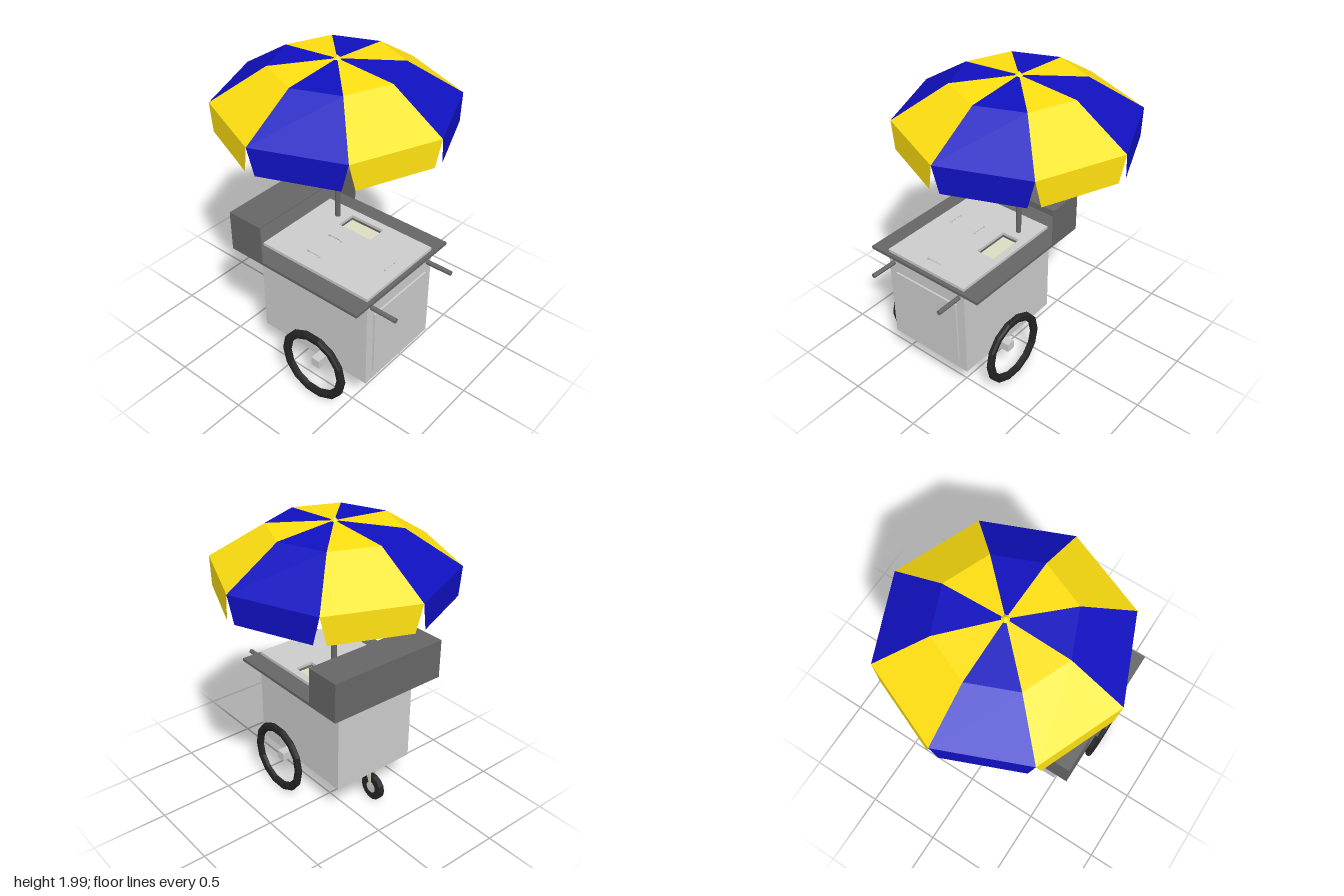
import * as THREE from 'three';

const CX = -0.2; // cart centre line
const mat = (color, side = THREE.FrontSide) =>
  new THREE.MeshStandardMaterial({ color, side, flatShading: true });
const GREY = mat(0xcccccc), DARK = mat(0x666666), BLACK = mat(0x242424);
const CREAM = mat(0xdcdcc0, THREE.DoubleSide);
const YELLOW = mat(0xffe010, THREE.DoubleSide), BLUE = mat(0x1010c0, THREE.DoubleSide);

export function createModel() {
  const model = new THREE.Group();
  const add = (name, geo, material, x = 0, y = 0, z = 0) => {
    const mesh = new THREE.Mesh(geo, material);
    mesh.name = name;
    mesh.position.set(x, y, z);
    model.add(mesh);
    return mesh;
  };
  // Box given by its extents
  const box = (name, material, x0, x1, y0, y1, z0, z1) =>
    add(name, new THREE.BoxGeometry(x1 - x0, y1 - y0, z1 - z0), material,
      (x0 + x1) / 2, (y0 + y1) / 2, (z0 + z1) / 2);
  const rect = (x0, x1, z0, z1, Type) => new Type().moveTo(x0, z0).lineTo(x1, z0).lineTo(x1, z1).lineTo(x0, z1).closePath();

  // Horizontal plate with the tray opening cut through
  const plate = (name, material, x0, x1, z0, z1, top, thick) => {
    const shape = rect(x0, x1, z0, z1, THREE.Shape);
    shape.holes.push(rect(-0.07, 0.06, 0.03, 0.28, THREE.Path));
    const geo = new THREE.ExtrudeGeometry(shape, { depth: thick, bevelEnabled: false });
    add(name, geo.rotateX(Math.PI / 2), material, 0, top, 0);
  };

  // Cabinet, door and tops
  box('cabinet', GREY, -0.51, 0.11, 0.22, 0.85, -0.22, 0.61);
  box('door', GREY, -0.45, 0.05, 0.285, 0.74, 0.6, 0.622);
  plate('counter', DARK, -0.635, 0.235, -0.34, 0.635, 0.87, 0.02);
  plate('lid', GREY, -0.51, 0.11, -0.2, 0.61, 0.89, 0.02);
  box('trayFloor', CREAM, -0.07, 0.06, 0.849, 0.854, 0.03, 0.28);

  // Hood at the back, open towards the front
  const t = 0.006;
  box('hoodBack', DARK, -0.635, 0.235, 0.85, 1.12, -0.34, -0.34 + t);
  box('hoodTop', DARK, -0.635, 0.235, 1.12 - t, 1.12, -0.34, -0.09);
  box('hoodRightSide', DARK, -0.635, -0.635 + t, 0.85, 1.12, -0.34, -0.09);
  box('hoodLeftSide', DARK, 0.235 - t, 0.235, 0.85, 1.12, -0.34, -0.09);

  // Lid grips
  const grip = (x, z, turn) => {
    const path = new THREE.CurvePath();
    const p = [[-0.045, 0.885], [-0.045, 0.904], [0.045, 0.904], [0.045, 0.885]]
      .map(([a, y]) => new THREE.Vector3(a, y, 0));
    for (let i = 0; i < 3; i++) path.add(new THREE.LineCurve3(p[i], p[i + 1]));
    add('lidGrip', new THREE.TubeGeometry(path, 18, 0.007, 6), GREY, x, 0, z).rotation.y = turn;
  };
  grip(-0.4, 0.11, Math.PI / 2);
  grip(CX, 0.11, Math.PI / 2);
  grip(CX, 0.53, 0);

  // Push handles, axle and main wheels
  box('axle', GREY, -0.6, 0.2, 0.22, 0.28, 0.255, 0.315);
  for (const s of [-1, 1]) {
    add('pushHandle', new THREE.CylinderGeometry(0.015, 0.015, 0.185, 10).rotateX(Math.PI / 2),
      DARK, CX + s * 0.27, 0.805, 0.693);
    const profile = [[0.195, -0.012], [0.21, -0.02], [0.235, -0.02], [0.247, -0.01],
      [0.247, 0.01], [0.235, 0.02], [0.21, 0.02], [0.195, 0.012], [0.195, -0.012]]
      .map(([r, h]) => new THREE.Vector2(r, h));
    add('mainWheel', new THREE.LatheGeometry(profile, 14).rotateZ(Math.PI / 2),
      BLACK, CX + s * 0.415, 0.25, 0.285);
  }

  // Rear caster
  const disc = (r, w) => new THREE.CylinderGeometry(r, r, w, 14).rotateZ(Math.PI / 2);
  add('casterTyre', disc(0.092, 0.038), BLACK, CX, 0.098, -0.215);
  add('casterHub', disc(0.04, 0.042), GREY, CX, 0.098, -0.215);
  const fork = new THREE.Shape().moveTo(0.155, 0.22).lineTo(0.215, 0.22).lineTo(0.218, 0.1).closePath();
  for (const s of [-1, 1]) {
    const geo = new THREE.ExtrudeGeometry(fork, { depth: 0.004, bevelEnabled: false });
    add('casterFork', geo.rotateY(Math.PI / 2), CREAM, CX + s * 0.023 - 0.002, 0, 0);
  }

  // Umbrella: pole, eight two-part panels with hanging flaps, and a cap
  const PZ = -0.04;
  add('umbrellaPole', new THREE.CylinderGeometry(0.018, 0.018, 1.1, 10), DARK, 0, 1.42, PZ);
  add('umbrellaCap', new THREE.ConeGeometry(0.03, 0.03, 8), YELLOW, 0, 1.985, PZ);
  const rim = (k, r, y) => new THREE.Vector3(r * Math.cos(k * Math.PI / 4), y, r * Math.sin(k * Math.PI / 4));
  for (let k = 0; k < 8; k++) {
    const apex = new THREE.Vector3(0, 1.977, 0);
    const i0 = rim(k, 0.4, 1.945), i1 = rim(k + 1, 0.4, 1.945);
    const o0 = rim(k, 0.74, 1.73), o1 = rim(k + 1, 0.74, 1.73);
    const f0 = o0.clone().lerp(o1, 0.07).setY(1.56), f1 = o1.clone().lerp(o0, 0.07).setY(1.56);
    const corners = [apex, i1, i0, i0, i1, o1, i0, o1, o0, o0, o1, f1, o0, f1, f0];
    const geo = new THREE.BufferGeometry().setFromPoints(corners);
    geo.computeVertexNormals();
    add('umbrellaPanel', geo, k % 2 ? BLUE : YELLOW, 0, 0, PZ);
  }
  return model;
}
